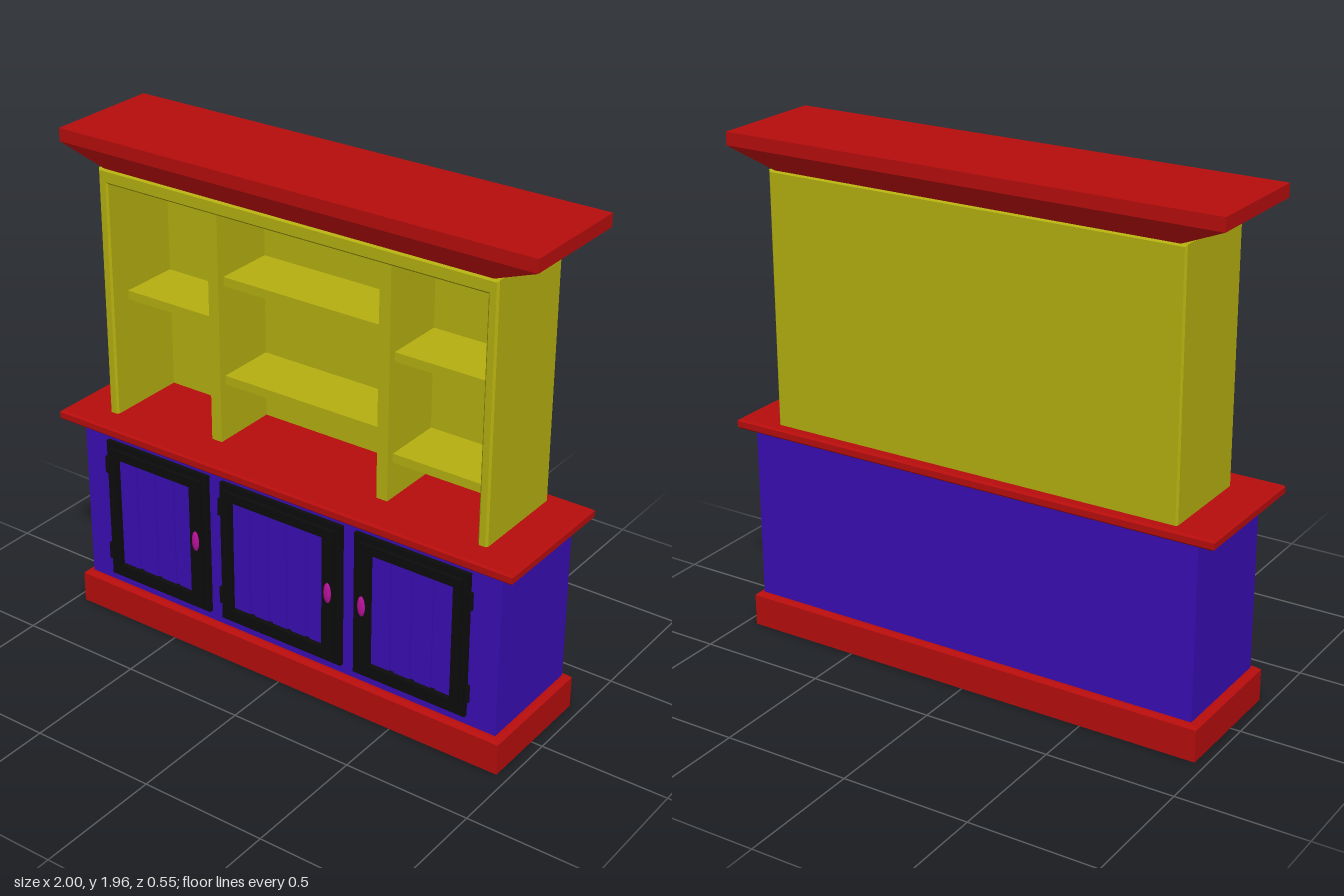
import * as THREE from 'three';

const mat = (color) => new THREE.MeshStandardMaterial({ color, side: THREE.DoubleSide, flatShading: true });
const red = mat(0xb80d0d), yellow = mat(0xb6b010), purple = mat(0x3a0db4), black = mat(0x0c0c0c);
const magenta = new THREE.MeshStandardMaterial({ color: 0xb8109a });

function add(parent, name, geometry, material) {
  const mesh = new THREE.Mesh(geometry, material);
  mesh.name = name;
  parent.add(mesh);
  return mesh;
}

// Box between two corners
function box(parent, name, material, x0, x1, y0, y1, z0, z1) {
  const mesh = add(parent, name, new THREE.BoxGeometry(x1 - x0, y1 - y0, z1 - z0), material);
  mesh.position.set((x0 + x1) / 2, (y0 + y1) / 2, (z0 + z1) / 2);
  return mesh;
}

// Skin over rectangular rings [y, x0, x1, z0, z1], listed bottom to top
function stack(rings, capped) {
  const pos = [];
  const corners = rings.map(([y, x0, x1, z0, z1]) => [[x0, y, z1], [x1, y, z1], [x1, y, z0], [x0, y, z0]]);
  const quad = (a, b, c, d) => pos.push(...a, ...b, ...c, ...a, ...c, ...d);
  for (let r = 0; r + 1 < corners.length; r++) {
    for (let i = 0; i < 4; i++) {
      const j = (i + 1) % 4;
      quad(corners[r][i], corners[r][j], corners[r + 1][j], corners[r + 1][i]);
    }
  }
  if (capped) {
    quad(...corners[corners.length - 1]);
    quad(...[...corners[0]].reverse());
  }
  const geometry = new THREE.BufferGeometry();
  geometry.setAttribute('position', new THREE.Float32BufferAttribute(pos, 3));
  geometry.computeVertexNormals();
  return geometry;
}

function rectPath(path, x0, x1, y0, y1) {
  path.moveTo(x0, y0);
  path.lineTo(x1, y0);
  path.lineTo(x1, y1);
  path.lineTo(x0, y1);
  path.closePath();
  return path;
}

// Rectangular frame with a rectangular opening, extruded along z
function frame(outer, inner, z0, z1) {
  const shape = rectPath(new THREE.Shape(), ...outer);
  shape.holes.push(rectPath(new THREE.Path(), ...inner));
  return new THREE.ExtrudeGeometry(shape, { depth: z1 - z0, bevelEnabled: false }).translate(0, 0, z0);
}

// Door from x0 to x1; side is the direction of the knob (+1 or -1)
function door(parent, name, x0, x1, side, planks) {
  const g = new THREE.Group();
  g.name = name;
  parent.add(g);
  const y0 = 0.176, y1 = 0.762, wide = 0.072, slim = 0.052;
  const ix0 = x0 + (side > 0 ? slim : wide), ix1 = x1 - (side > 0 ? wide : slim);
  const iy0 = y0 + 0.057, iy1 = y1 - 0.057;

  // Stepped frame
  add(g, 'doorFrame', frame([x0, x1, y0, y1], [ix0, ix1, iy0, iy1], 0.205, 0.226), black);
  add(g, 'doorFrameFace', frame([x0 + 0.022, x1 - 0.022, y0 + 0.025, y1 - 0.025],
    [ix0 + 0.004, ix1 - 0.004, iy0 + 0.004, iy1 - 0.004], 0.226, 0.24), black);

  // Panel planks with narrow grooves
  const pitch = (ix1 - ix0) / planks;
  for (let i = 0; i < planks; i++) {
    const a = ix0 + i * pitch + (i ? 0.01 : 0), b = ix0 + (i + 1) * pitch - (i < planks - 1 ? 0.01 : 0);
    box(g, 'panelPlank', purple, a, b, iy0, iy1, 0.205, 0.216);
  }

  // Knob
  const knob = add(g, 'knob', new THREE.SphereGeometry(1, 20, 14), magenta);
  knob.scale.set(0.017, 0.043, 0.012);
  knob.position.set(side > 0 ? x1 - 0.05 : x0 + 0.043, 0.478, 0.238);

  // Hinges on the far side
  for (const y of [0.275, 0.655]) {
    const hinge = add(g, 'hinge', new THREE.CylinderGeometry(0.011, 0.011, 0.066, 10), black);
    hinge.position.set(side > 0 ? x0 - 0.003 : x1 + 0.003, y, 0.22);
  }
}

export function createModel() {
  const model = new THREE.Group();
  model.name = 'hutchCabinet';

  // Hollow plinth with a chamfered lip
  add(model, 'plinth', stack([
    [0, -0.96, 0.955, -0.273, 0.237],
    [0.125, -0.96, 0.955, -0.273, 0.237],
    [0.138, -0.945, 0.94, -0.261, 0.223],
    [0.138, -0.93, 0.927, -0.25, 0.21],
  ], false), red);

  // Cabinet body, open at the bottom
  add(model, 'cabinetBody', stack([
    [0.138, -0.93, 0.927, -0.25, 0.21],
    [0.82, -0.93, 0.927, -0.25, 0.21],
  ], false), purple);

  // Doors
  door(model, 'rightDoor', -0.813, -0.33, 1, 4);
  door(model, 'middleDoor', -0.27, 0.275, 1, 5);
  door(model, 'leftDoor', 0.33, 0.807, -1, 4);

  // Countertop with softened edges
  add(model, 'countertop', stack([
    [0.813, -0.993, 0.993, -0.266, 0.266],
    [0.82, -1, 1, -0.273, 0.273],
    [0.844, -1, 1, -0.273, 0.273],
    [0.851, -0.993, 0.993, -0.266, 0.266],
  ], true), red);

  // Hutch: bevelled surround of two sides and a top
  const hutch = new THREE.Group();
  hutch.name = 'hutch';
  model.add(hutch);
  const e = 0.007;
  const outline = [[-0.84, 0.84], [-0.84, 1.83], [0.835, 1.83], [0.835, 0.84],
    [0.796, 0.84], [0.796, 1.775], [-0.8, 1.775], [-0.8, 0.84]];
  const surround = new THREE.Shape(outline.map(([x, y]) => new THREE.Vector2(x, y)));
  add(hutch, 'surround', new THREE.ExtrudeGeometry(surround, {
    depth: 0.4 - 2 * e, bevelSize: e, bevelThickness: e, bevelOffset: -e, bevelSegments: 1,
  }).translate(0, 0, -0.232 + e), yellow);
  box(hutch, 'backPanel', yellow, -0.82, 0.815, 0.845, 1.82, -0.232, -0.16);

  // Dividers, set back from the surround
  for (const [x0, x1] of [[-0.393, -0.348], [0.342, 0.388]]) {
    box(hutch, 'divider', yellow, x0, x1, 0.845, 1.78, -0.17, 0.11);
  }

  // Shelves
  const shelves = [
    [-0.8, -0.393, 1.295],
    [-0.348, 0.342, 1.077], [-0.348, 0.342, 1.468],
    [0.388, 0.796, 0.993], [0.388, 0.796, 1.384],
  ];
  for (const [x0, x1, y] of shelves) box(hutch, 'shelf', yellow, x0, x1, y, y + 0.035, -0.17, 0.08);

  // Flared crown
  add(model, 'crown', stack([
    [1.825, -0.805, 0.8, -0.223, 0.158],
    [1.905, -0.99, 0.99, -0.268, 0.196],
    [1.955, -0.99, 0.99, -0.268, 0.196],
  ], true), red);

  return model;
}
